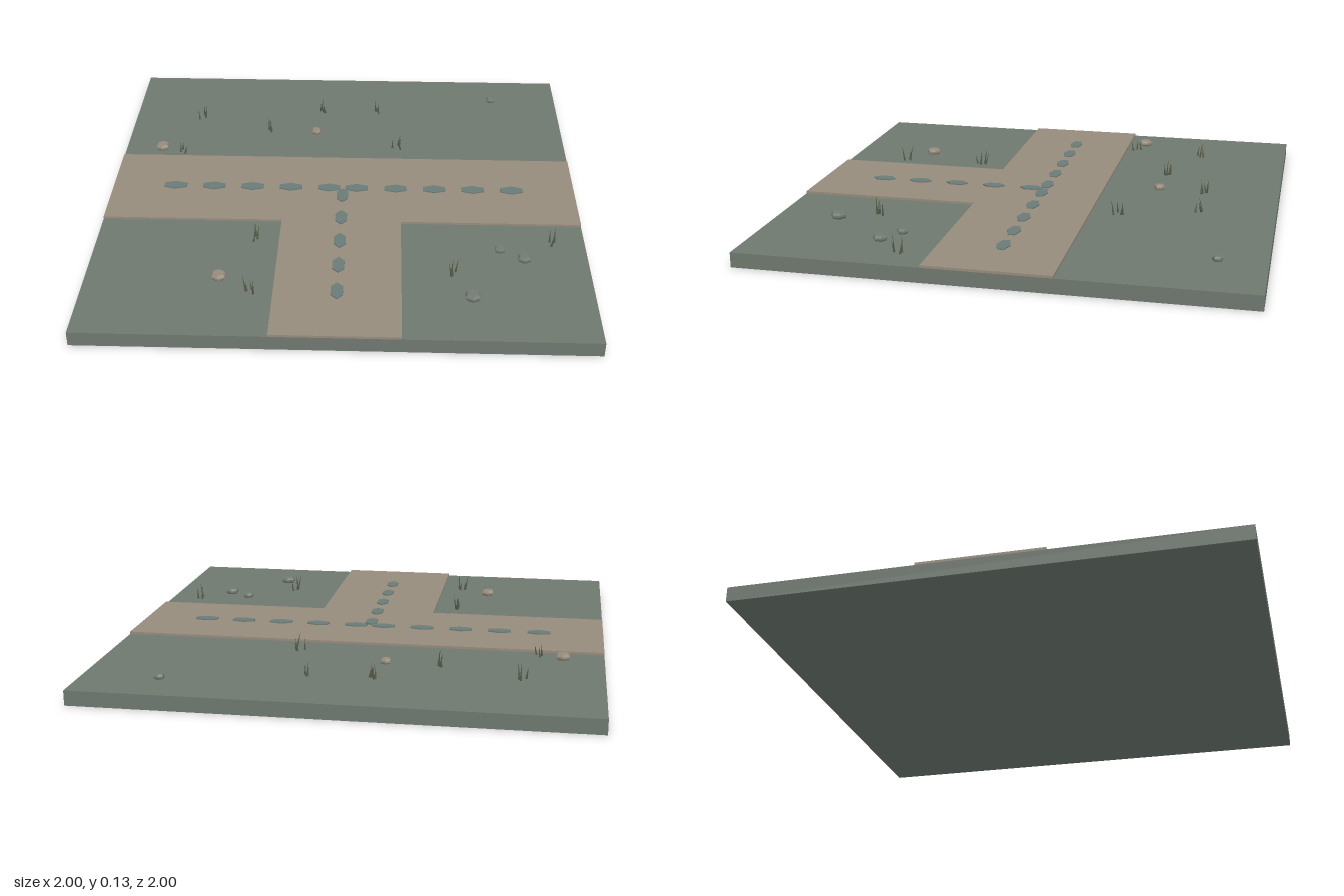
import * as THREE from 'three';

const mat = (name, color, opts = {}) => {
  const m = new THREE.MeshStandardMaterial({ color, ...opts });
  m.name = name;
  return m;
};

export function createModel() {
  const root = new THREE.Group();
  root.name = 'roadJunctionTile';
  const ground = mat('greyGreenGround', 0x6e786f);
  const dirt = mat('tanRoad', 0x968b7c);
  const marking = mat('tealMarking', 0x6a7b77, { flatShading: true });
  const greyStone = mat('greyStone', 0x737b74, { flatShading: true });
  const tanStone = mat('tanStone', 0x968b7c, { flatShading: true });
  const grass = mat('dryGrass', 0x595c48, { flatShading: true });

  const add = (parent, name, geo, material, x = 0, y = 0, z = 0) => {
    const m = new THREE.Mesh(geo, material);
    m.name = name;
    m.position.set(x, y, z);
    parent.add(m);
    return m;
  };
  const TOP = 0.06;

  // Ground slab
  add(root, 'groundSlab', new THREE.BoxGeometry(2, TOP, 2), ground, 0, TOP / 2, 0);

  // T-shaped road, drawn in plan and laid flat
  const w = 0.25;
  const tee = new THREE.Shape([
    [-1, w], [-1, -w], [-w, -w], [-w, -1], [w, -1], [w, -w], [1, -w], [1, w],
  ].map(([x, y]) => new THREE.Vector2(x, y)));
  const roadGeo = new THREE.ExtrudeGeometry(tee, { depth: 0.01, bevelEnabled: false });
  roadGeo.rotateX(-Math.PI / 2);
  add(root, 'road', roadGeo, dirt, 0, TOP, 0);

  // Dashed centre lines of stretched six-sided slabs
  const dashes = new THREE.Group();
  dashes.name = 'roadDashes';
  root.add(dashes);
  const dashGeo = new THREE.CylinderGeometry(1, 1, 0.008, 6);
  for (const d of [0.06, 0.228, 0.395, 0.562, 0.73]) {
    for (const s of [-1, 1]) {
      add(dashes, 'crossRoadDash', dashGeo, marking, s * d, 0.071, 0).scale.set(0.056, 1, 0.028);
    }
    add(dashes, 'sideRoadDash', dashGeo, marking, 0, 0.0712, d).scale.set(0.028, 1, 0.05);
  }

  // Squat faceted stones
  const stones = new THREE.Group();
  stones.name = 'stones';
  root.add(stones);
  const stoneGeo = new THREE.LatheGeometry(
    [[0, 0], [0.8, 0], [1, 0.35], [1, 0.65], [0.75, 1], [0, 1]].map(([x, y]) => new THREE.Vector2(x, y)), 6);
  [
    [-0.835, -0.325, 0.031, tanStone], [-0.14, -0.485, 0.023, tanStone],
    [-0.47, 0.645, 0.031, tanStone], [0.69, -0.81, 0.021, greyStone],
    [0.65, 0.43, 0.023, greyStone], [0.745, 0.49, 0.029, greyStone],
    [0.525, 0.745, 0.033, greyStone],
  ].forEach(([x, z, r, m]) => {
    add(stones, 'stone', stoneGeo, m, x, TOP - 0.002, z).scale.set(r, r * 0.5 + 0.011, r);
  });

  // Grass tufts of thin leaning blades
  let seed = 7;
  const rand = () => (seed = (seed * 16807) % 2147483647) / 2147483647;
  const bladeGeo = new THREE.ConeGeometry(0.0045, 1, 4);
  bladeGeo.translate(0, 0.5, 0);
  [
    [-0.68, -0.615, 3], [-0.12, -0.685, 5], [0.14, -0.69, 3], [-0.35, -0.5, 4],
    [-0.74, -0.3, 3], [0.235, -0.365, 4], [-0.36, 0.375, 4], [-0.34, 0.72, 4],
    [0.455, 0.585, 4], [0.86, 0.38, 4],
  ].forEach(([x, z, count]) => {
    const tuft = new THREE.Group();
    tuft.name = 'grassTuft';
    tuft.position.set(x, TOP, z);
    root.add(tuft);
    for (let i = 0; i < count; i++) {
      const b = add(tuft, 'grassBlade', bladeGeo, grass, (rand() - 0.5) * 0.04, 0, (rand() - 0.5) * 0.05);
      b.scale.y = 0.04 + rand() * 0.035;
      b.rotation.set((rand() - 0.5) * 0.5, 0, (rand() - 0.5) * 0.5);
    }
  });

  return root;
}
